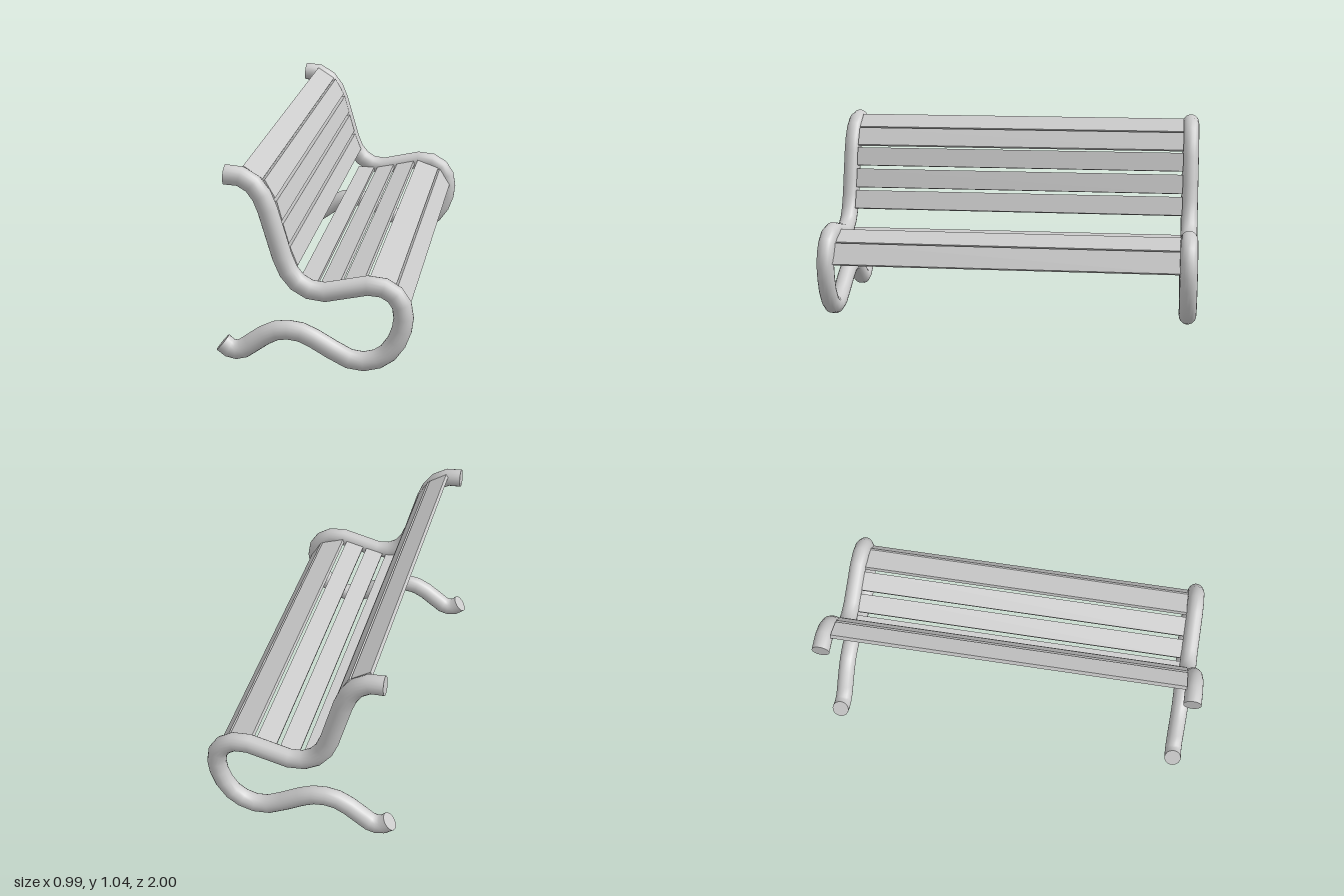
import * as THREE from 'three';

const RADIUS = 0.05, SIDE_Z = 0.954, SLAT_LENGTH = 1.83, SLAT_THICKNESS = 0.022;

// Centre line of a side frame, from the top of the back to the rear foot
const FRAME_PATH = [
  [-0.427, 0.99], [-0.35, 0.985], [-0.29, 0.95], [-0.248, 0.893], [-0.22, 0.822],
  [-0.178, 0.675], [-0.152, 0.583], [-0.122, 0.51], [-0.078, 0.455], [-0.018, 0.42],
  [0.06, 0.412], [0.27, 0.463], [0.35, 0.457], [0.405, 0.423], [0.438, 0.372],
  [0.448, 0.306], [0.44, 0.243], [0.415, 0.173], [0.372, 0.11], [0.32, 0.072],
  [0.252, 0.052], [0.178, 0.06], [0.09, 0.105], [0, 0.157], [-0.065, 0.185],
  [-0.13, 0.192], [-0.19, 0.183], [-0.25, 0.152], [-0.32, 0.1], [-0.36, 0.07],
  [-0.395, 0.06], [-0.43, 0.067], [-0.465, 0.095],
].map(([x, y]) => new THREE.Vector2(x, y));

// Visible face of each slat in section: [x1, y1, x2, y2]
const BACK_SLATS = [
  [-0.345, 1.025, -0.25, 0.965],
  [-0.24, 0.96, -0.19, 0.87],
  [-0.183, 0.855, -0.157, 0.757],
  [-0.153, 0.738, -0.125, 0.637],
  [-0.12, 0.62, -0.083, 0.524],
];
const SEAT_SLATS = [
  [-0.095, 0.412, 0.0, 0.412],
  [0.02, 0.415, 0.12, 0.437],
  [0.14, 0.442, 0.243, 0.467],
  [0.268, 0.475, 0.395, 0.432],
  [0.405, 0.428, 0.466, 0.327],
];

// A capped cylinder whose rows are moved onto the points of a path
function bentTube(path, radius) {
  const rows = path.length - 1;
  const geometry = new THREE.CylinderGeometry(1, 1, 1, 18, rows);
  const pos = geometry.attributes.position, nor = geometry.attributes.normal;
  for (let i = 0; i < pos.count; i++) {
    const j = Math.round((0.5 - pos.getY(i)) * rows);
    const p = path[j];
    const before = p.clone().sub(path[Math.max(j - 1, 0)]).normalize();
    const after = path[Math.min(j + 1, rows)].clone().sub(p).normalize();
    const t = before.add(after).normalize();
    const px = pos.getX(i) * radius, pz = pos.getZ(i) * radius * 0.92;
    const nx = nor.getX(i), ny = nor.getY(i);
    pos.setXYZ(i, p.x - t.y * px, p.y + t.x * px, pz);
    nor.setXYZ(i, -t.y * nx - t.x * ny, t.x * nx - t.y * ny, nor.getZ(i));
  }
  return geometry;
}

// A plank whose front or top face runs between two section points
function slat([x1, y1, x2, y2], material, name) {
  const width = Math.hypot(x2 - x1, y2 - y1);
  const geometry = new THREE.BoxGeometry(width, SLAT_THICKNESS, SLAT_LENGTH);
  geometry.translate(0, -SLAT_THICKNESS / 2, 0);
  const mesh = new THREE.Mesh(geometry, material);
  mesh.position.set((x1 + x2) / 2, (y1 + y2) / 2, 0);
  mesh.rotation.z = Math.atan2(y2 - y1, x2 - x1);
  mesh.name = name;
  return mesh;
}

export function createModel() {
  const bench = new THREE.Group();
  bench.name = 'bench';
  const material = new THREE.MeshStandardMaterial({ color: 0xcccccc });

  // Curved tube frames at both ends
  const frame = bentTube(FRAME_PATH, RADIUS);
  for (const [name, side] of [['frontEndFrame', 1], ['rearEndFrame', -1]]) {
    const mesh = new THREE.Mesh(frame, material);
    mesh.name = name;
    mesh.position.z = side * SIDE_Z;
    bench.add(mesh);
  }

  // Planks of the backrest and the seat
  for (const [part, sections] of [['backrest', BACK_SLATS], ['seat', SEAT_SLATS]]) {
    const group = new THREE.Group();
    group.name = part;
    sections.forEach((s, i) => group.add(slat(s, material, `${part}Slat${i + 1}`)));
    bench.add(group);
  }
  return bench;
}
